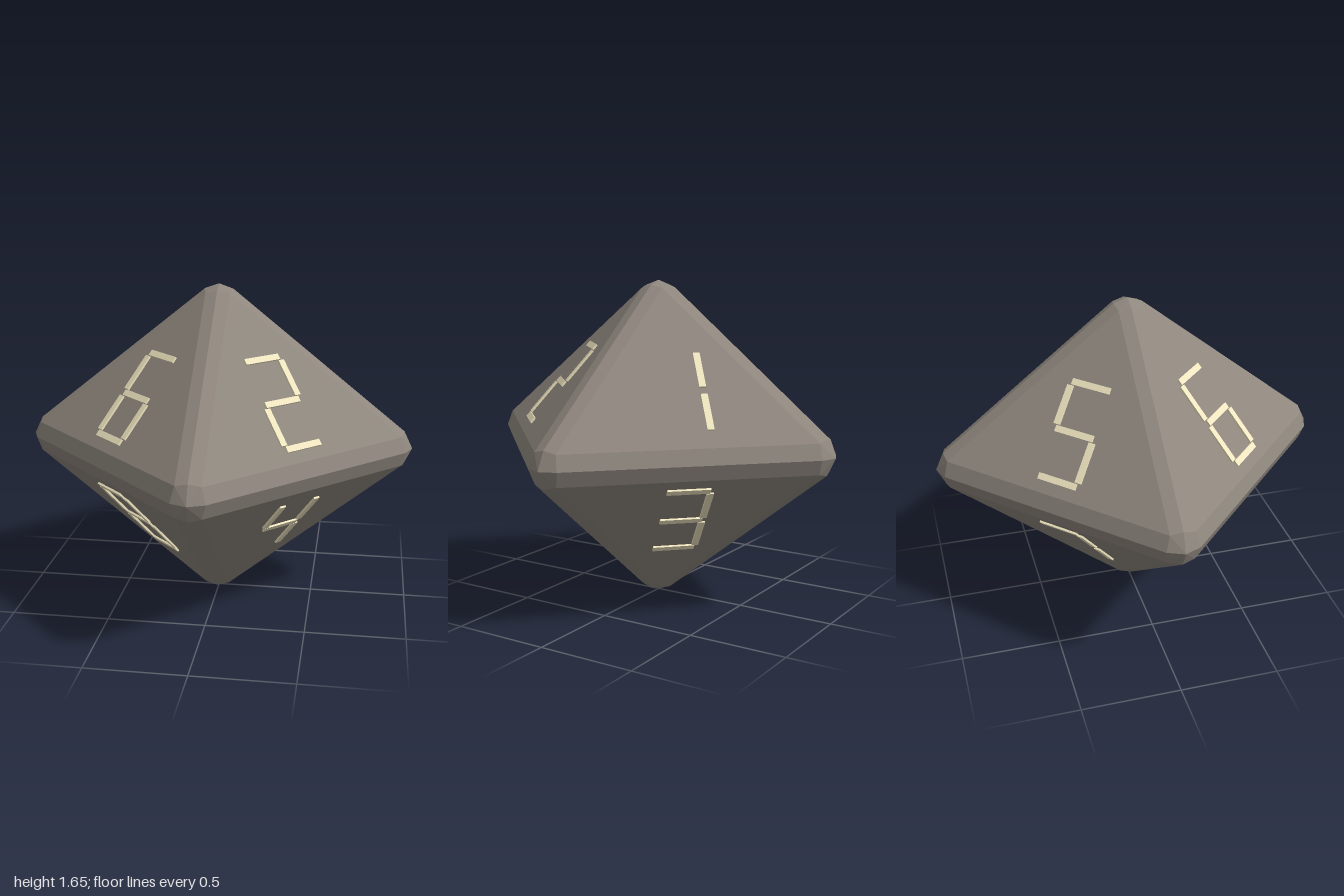
import * as THREE from 'three';
import { ConvexGeometry } from 'three/addons/geometries/ConvexGeometry.js';

const R = 0.115;                                        // rounding radius of edges and corners
const CORE = new THREE.Vector3(1 - R, 0.825 - R, 1 - R); // half-axes of the inner octahedron

// Outward normal for a sign triple: 3 signs = face, 2 = edge, 1 = corner
const outward = (s) =>
  new THREE.Vector3(s[0] / CORE.x, s[1] / CORE.y, s[2] / CORE.z).normalize();

// Eight-sided body: each core corner is pushed out along its own axis and
// along the normals of the edges and faces that meet there
function bodyGeometry() {
  const points = [];
  const signs = [-1, 0, 1];
  for (const x of signs) for (const y of signs) for (const z of signs) {
    const s = [x, y, z];
    for (let axis = 0; axis < 3; axis++) {
      if (s[axis] === 0) continue;
      const corner = new THREE.Vector3().setComponent(axis, s[axis] * CORE.getComponent(axis));
      points.push(corner.addScaledVector(outward(s), R));
    }
  }
  return new ConvexGeometry(points);
}

// Bars of a face mark: [u, v, isVertical]
const BARS = {
  a: [0, 0.24, false], g: [0, 0, false], d: [0, -0.24, false],
  f: [-0.107, 0.12, true], b: [0.107, 0.12, true],
  e: [-0.107, -0.12, true], c: [0.107, -0.12, true],
};

// Which bars lie on which face
const FACES = [
  { sign: [1, 1, -1], bars: 'bc' },
  { sign: [1, 1, 1], bars: 'abged' },
  { sign: [1, -1, -1], bars: 'abgcd' },
  { sign: [1, -1, 1], bars: 'fgbc' },
  { sign: [-1, 1, -1], bars: 'afgcd' },
  { sign: [-1, 1, 1], bars: 'afgecd' },
  { sign: [-1, -1, -1], bars: 'abc' },
  { sign: [-1, -1, 1], bars: 'abcdefg' },
];

export function createModel() {
  const model = new THREE.Group();
  model.name = 'eightSidedDie';
  const bodyMaterial = new THREE.MeshStandardMaterial({ color: 0x8f877e, flatShading: true });
  const markMaterial = new THREE.MeshStandardMaterial({ color: 0xf0e6c0 });

  const die = new THREE.Group();
  die.name = 'die';
  die.position.y = 0.825;
  model.add(die);

  const body = new THREE.Mesh(bodyGeometry(), bodyMaterial);
  body.name = 'body';
  die.add(body);

  // Raised bars, upright on every face
  const across = new THREE.BoxGeometry(0.21, 0.032, 0.02);
  const upright = new THREE.BoxGeometry(0.034, 0.2, 0.02);
  for (const { sign, bars } of FACES) {
    const n = outward(sign);
    const u = new THREE.Vector3(0, 1, 0).cross(n).normalize();
    const v = n.clone().cross(u);
    const mark = new THREE.Group();
    mark.name = 'faceMark';
    mark.quaternion.setFromRotationMatrix(new THREE.Matrix4().makeBasis(u, v, n));
    mark.position.fromArray(sign).multiply(CORE).divideScalar(3).addScaledVector(n, R);
    for (const key of bars) {
      const [x, y, vertical] = BARS[key];
      const bar = new THREE.Mesh(vertical ? upright : across, markMaterial);
      bar.name = 'markBar';
      bar.position.set(x, y, 0);
      mark.add(bar);
    }
    die.add(mark);
  }
  return model;
}
